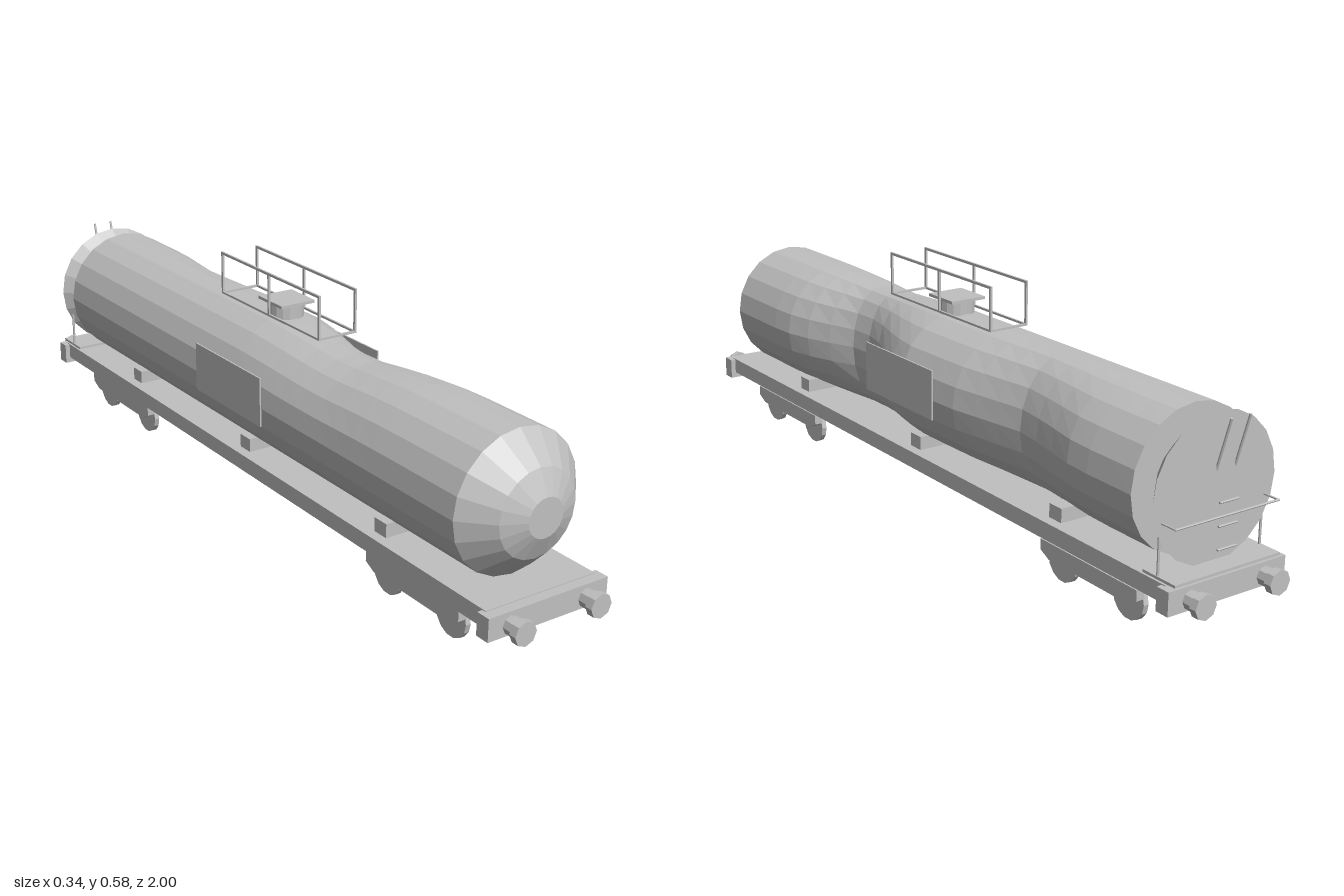
import * as THREE from 'three';

export function createModel() {
  const model = new THREE.Group();
  model.name = 'tankWagon';
  const grey = new THREE.MeshStandardMaterial({ color: 0xc0c0c0, flatShading: true });
  grey.name = 'plain grey';

  const add = (name, geometry, x = 0, y = 0, z = 0) => {
    const mesh = new THREE.Mesh(geometry, grey);
    mesh.name = name;
    mesh.position.set(x, y, z);
    model.add(mesh);
    return mesh;
  };
  const box = (name, w, h, d, x, y, z) => add(name, new THREE.BoxGeometry(w, h, d), x, y, z);
  // Cylinder along z: rFront at the +z end, rBack at the -z end
  const drum = (name, rFront, rBack, zBack, zFront, sides, x, y, rows = 1) => {
    const g = new THREE.CylinderGeometry(rFront, rBack, zFront - zBack, sides, rows);
    g.rotateX(Math.PI / 2);
    return add(name, g, x, y, (zFront + zBack) / 2);
  };
  const rod = (name, a, b, r = 0.0025) => {
    const from = new THREE.Vector3(...a), to = new THREE.Vector3(...b);
    const dir = to.clone().sub(from);
    const mesh = add(name, new THREE.CylinderGeometry(r, r, dir.length(), 6));
    mesh.position.copy(from).add(to).multiplyScalar(0.5);
    mesh.quaternion.setFromUnitVectors(new THREE.Vector3(0, 1, 0), dir.normalize());
    return mesh;
  };

  const R = 0.163, Y = 0.313;

  // Tank barrel, its left flank pushed in by two dents: [z, remaining half width]
  const dents = [[-0.85, R], [-0.65, 0.16], [-0.55, 0.14], [-0.43, 0.118], [-0.3, 0.14], [-0.2, 0.157],
    [0, R], [0.1, 0.14], [0.2, 0.1], [0.29, 0.078], [0.36, 0.085], [0.45, 0.13], [0.55, 0.158], [0.62, R], [0.85, R]];
  const halfWidth = (z) => {
    const i = Math.max(1, dents.findIndex((d) => d[0] >= z));
    const [z0, w0] = dents[i - 1], [z1, w1] = dents[i];
    return w0 + (w1 - w0) * (z - z0) / (z1 - z0);
  };
  const barrel = drum('tankBarrel', R, R, -0.84, 0.84, 20, 0, Y, 24);
  const p = barrel.geometry.attributes.position;
  for (let i = 0; i < p.count; i++) {
    const w = halfWidth(p.getZ(i)) / R;
    if (p.getX(i) > 0) p.setX(i, p.getX(i) * w);
    // the large front dent also drags the crown down slightly
    if (p.getY(i) > 0 && p.getZ(i) > 0) p.setY(i, p.getY(i) * (1 - 0.17 * (1 - w)));
  }
  barrel.geometry.computeVertexNormals();

  // Front dome in stepped cones; the rear cones flare outwards instead
  drum('frontDomeOuter', 0.1, R, 0.84, 0.905, 20, 0, Y);
  drum('frontDomeInner', 0.045, 0.1, 0.905, 0.93, 20, 0, Y);
  drum('rearFlareOuter', 0.1, R, -0.905, -0.84, 20, 0, Y);
  drum('rearFlareInner', 0.045, 0.1, -0.933, -0.905, 20, 0, Y);

  // Underframe, end beams and buffers
  box('deck', 0.29, 0.04, 1.86, 0, 0.13, 0);
  for (const s of [-1, 1]) {
    box('endBeam', 0.316, 0.053, 0.035, 0, 0.1215, s * 0.9375);
    for (const x of [-0.1, 0.1]) {
      const shank = [s * 0.95, s * 0.985].sort((a, b) => a - b);
      const head = [s * 0.982, s].sort((a, b) => a - b);
      drum('bufferShank', 0.021, 0.021, ...shank, 8, x, 0.118);
      drum('bufferHead', 0.028, 0.028, ...head, 8, x, 0.118);
    }
  }
  for (const z of [-0.55, 0, 0.55]) box('tankCradle', 0.24, 0.035, 0.042, 0, 0.1655, z);

  // Bogies: bolster, chamfered side frames and wheels
  const frameShape = new THREE.Shape(
    [[-0.16, 0.09], [-0.16, 0.065], [-0.13, 0.05], [0.13, 0.05], [0.16, 0.065], [0.16, 0.09]]
      .map(([x, y]) => new THREE.Vector2(x, y)));
  const frame = new THREE.ExtrudeGeometry(frameShape, { depth: 0.022, bevelEnabled: false });
  frame.translate(0, 0, -0.011).rotateY(Math.PI / 2);
  const wheel = new THREE.CylinderGeometry(0.049, 0.049, 0.013, 14).rotateZ(Math.PI / 2);
  for (const z of [-0.66, 0.66]) {
    box('bogieBolster', 0.22, 0.032, 0.05, 0, 0.099, z);
    for (const s of [-1, 1]) {
      add('bogieSideFrame', frame, s * 0.109, 0, z);
      for (const dz of [-0.11, 0.11]) add('wheel', wheel, s * 0.0915, 0.049, z + dz);
    }
  }

  // Side panels
  for (const s of [-1, 1]) box('sidePanel', 0.004, 0.12, 0.29, s * 0.167, 0.33, 0);

  // Hatch and the railing around it
  add('hatchNeck', new THREE.CylinderGeometry(0.043, 0.043, 0.036, 16), 0, 0.491, 0);
  box('hatchLid', 0.094, 0.007, 0.1, 0, 0.511, 0);
  for (const s of [-1, 1]) {
    const x = s * 0.05;
    for (const z of [-0.21, 0, 0.21]) box('railPost', 0.005, 0.105, 0.006, x, 0.5325, z);
    box('topRail', 0.005, 0.006, 0.426, x, 0.582, 0);
    box('bottomRail', 0.005, 0.005, 0.426, x, 0.481, 0);
    box('railCrossbar', 0.1, 0.005, 0.006, 0, 0.481, s * 0.21);
  }

  // Rear platform, handrail and ladder
  box('rearPlatform', 0.284, 0.006, 0.095, 0, 0.155, -0.907);
  rod('handrail', [-0.14, 0.27, -0.945], [0.14, 0.27, -0.945]);
  for (const s of [-1, 1]) {
    rod('handrailPost', [s * 0.138, 0.155, -0.9], [s * 0.138, 0.27, -0.9], 0.003);
    rod('handrailReturn', [s * 0.138, 0.27, -0.9], [s * 0.138, 0.27, -0.945]);
    rod('ladderStile', [s * 0.025, 0.335, -0.922], [s * 0.025, 0.48, -0.965], 0.003);
  }
  for (const y of [0.2, 0.25, 0.3]) rod('ladderRung', [-0.025, y, -0.945], [0.025, y, -0.945]);

  return model;
}
